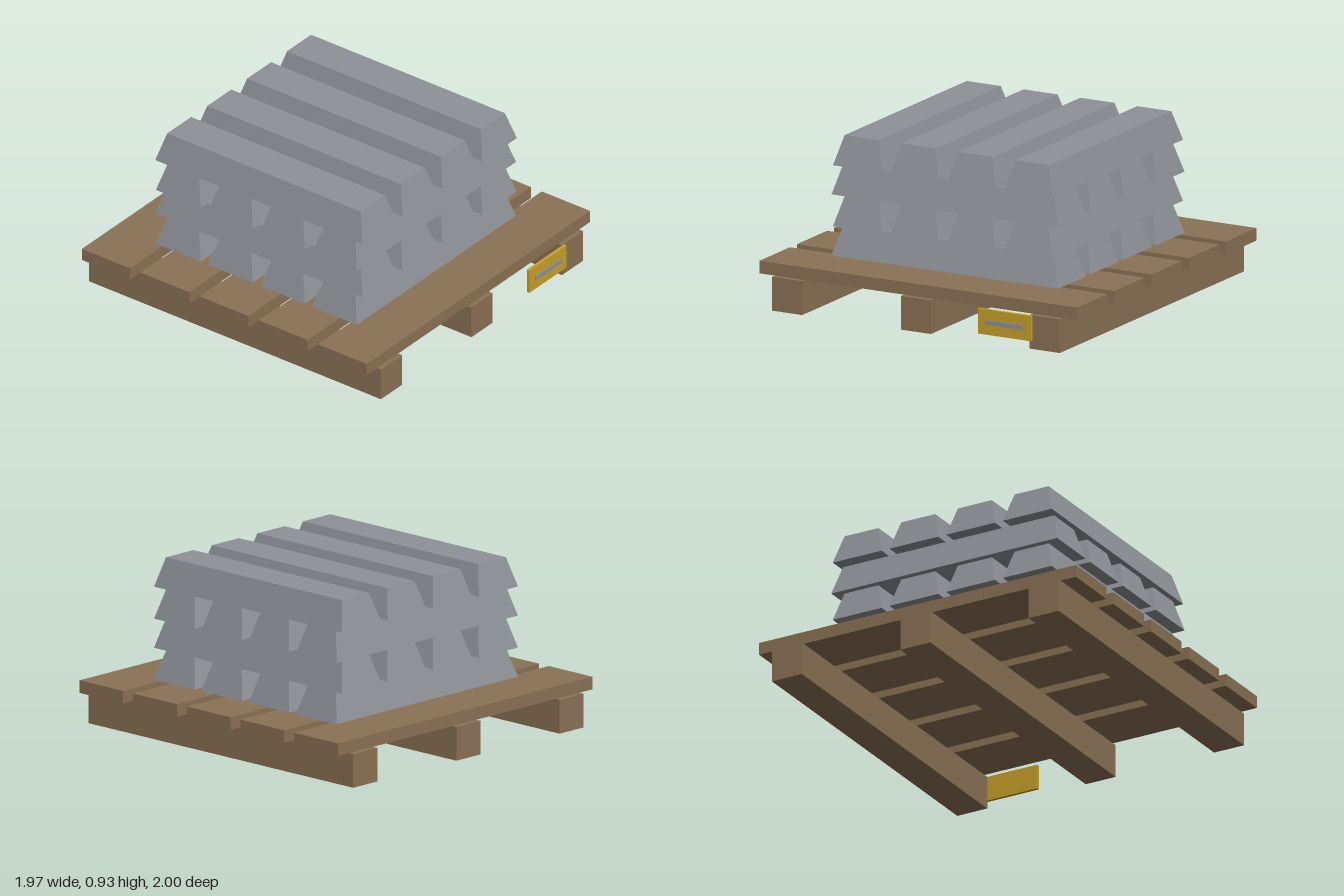
import * as THREE from 'three';

const MID_Z = -0.0125; // centre of pallet and stack, behind the label

export function createModel() {
  const wood = new THREE.MeshStandardMaterial({ name: 'wood', color: 0x8b7355 });
  const steel = new THREE.MeshStandardMaterial({ name: 'steel', color: 0x8e9297 });
  const yellow = new THREE.MeshStandardMaterial({ name: 'labelYellow', color: 0xc9a227 });

  const model = new THREE.Group();
  model.name = 'ingotPallet';

  function add(parent, name, geometry, material, x, y, z) {
    const mesh = new THREE.Mesh(geometry, material);
    mesh.name = name;
    mesh.position.set(x, y, z);
    parent.add(mesh);
    return mesh;
  }

  // Pallet: three runners under five deck boards
  const pallet = new THREE.Group();
  pallet.name = 'pallet';
  model.add(pallet);
  const runner = new THREE.BoxGeometry(0.186, 0.187, 1.975);
  for (const x of [-0.797, 0, 0.797]) add(pallet, 'runner', runner, wood, x, 0.0935, MID_Z);
  const board = new THREE.BoxGeometry(1.966, 0.07, 0.326);
  for (let i = -2; i <= 2; i++) add(pallet, 'deckBoard', board, wood, 0, 0.224, MID_Z + i * 0.4);

  // Ingot: a box whose top is drawn in on all four sides
  const ingot = new THREE.BoxGeometry(1.402, 0.163, 0.303);
  const p = ingot.attributes.position;
  for (let i = 0; i < p.count; i++) {
    if (p.getY(i) > 0) {
      p.setX(i, p.getX(i) - Math.sign(p.getX(i)) * 0.046);
      p.setZ(i, p.getZ(i) - Math.sign(p.getZ(i)) * 0.046);
    }
  }
  ingot.computeVertexNormals();

  // Four layers, each turned a quarter from the one below
  for (let layer = 0; layer < 4; layer++) {
    const group = new THREE.Group();
    group.name = 'ingotLayer';
    group.position.set(0, 0.3425 + layer * 0.1692, MID_Z);
    group.rotation.y = layer % 2 ? Math.PI / 2 : 0;
    for (let i = 0; i < 4; i++) add(group, 'ingot', ingot, steel, 0, 0, (i - 1.5) * 0.352);
    model.add(group);
  }

  // Label plate with a raised strip on the front of the left runner
  const label = new THREE.Group();
  label.name = 'label';
  model.add(label);
  add(label, 'labelPlate', new THREE.BoxGeometry(0.326, 0.14, 0.018), yellow, 0.558, 0.117, 0.984);
  add(label, 'labelStrip', new THREE.BoxGeometry(0.233, 0.025, 0.009), steel, 0.558, 0.117, 0.9955);

  return model;
}
